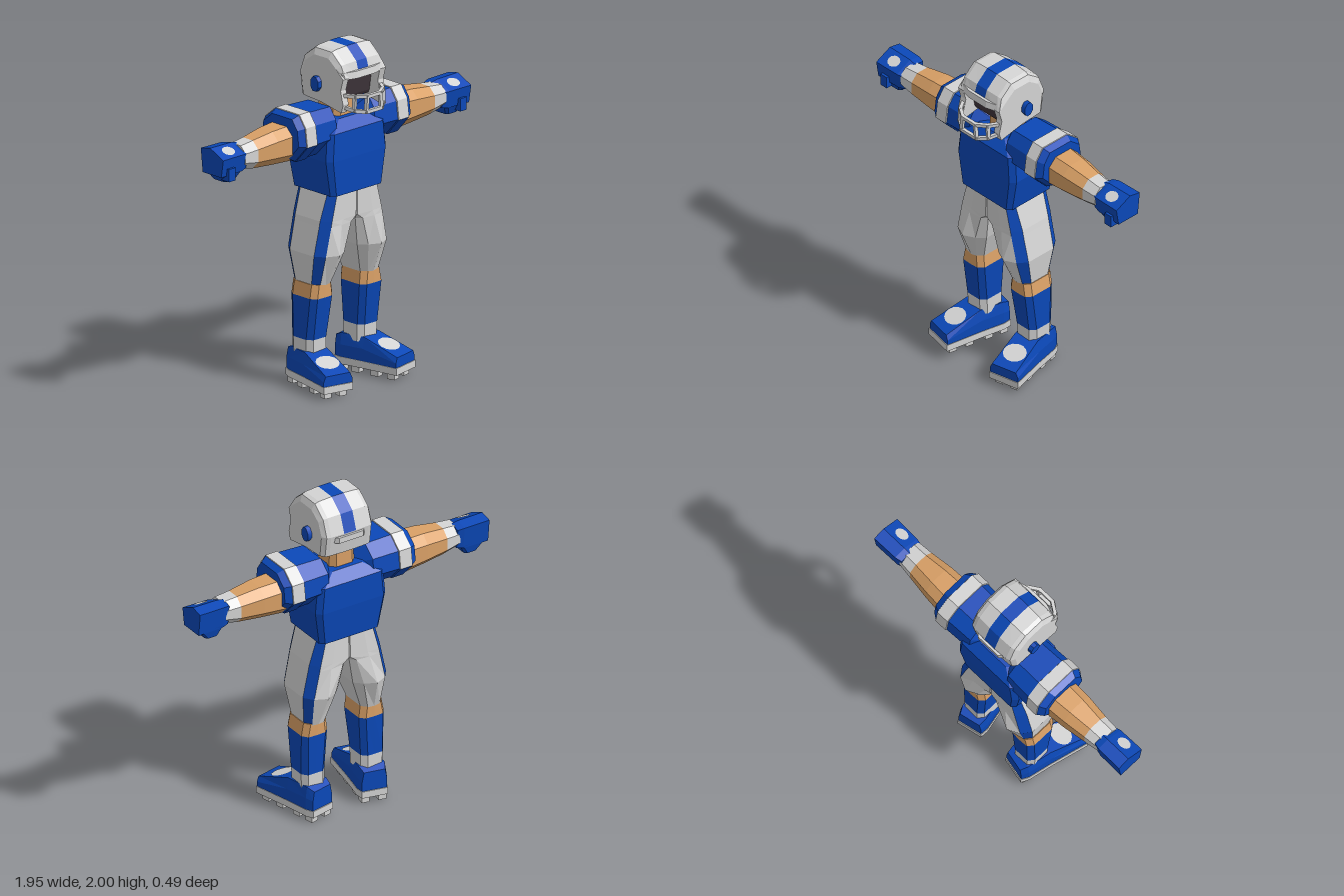
import * as THREE from 'three';

const paint = (name, color) => Object.assign(new THREE.MeshStandardMaterial({ color }), { name });

// Faceted loft through closed rings of [x,y,z]; pick(segment, side) chooses the material index.
function loft(rings, pick = () => 0) {
  const tris = [], n = rings[0].length, last = rings.length - 1;
  for (let s = 0; s < last; s++) for (let i = 0; i < n; i++) {
    const j = (i + 1) % n, m = pick(s, i);
    const [a, b, c, d] = [rings[s][i], rings[s][j], rings[s + 1][j], rings[s + 1][i]];
    tris.push([m, a, b, c], [m, a, c, d]);
  }
  for (const [r, s] of [[rings[0], 0], [rings[last], last - 1]]) {
    const mid = [0, 1, 2].map(k => r.reduce((t, p) => t + p[k], 0) / n);
    for (let i = 0; i < n; i++) {
      const j = (i + 1) % n;
      tris.push(r === rings[0] ? [pick(s, 0), mid, r[j], r[i]] : [pick(s, 0), mid, r[i], r[j]]);
    }
  }
  // turn the faces outward
  const vol = tris.reduce((t, [, a, b, c]) => t + a[0] * (b[1] * c[2] - b[2] * c[1])
    + a[1] * (b[2] * c[0] - b[0] * c[2]) + a[2] * (b[0] * c[1] - b[1] * c[0]), 0);
  tris.sort((p, q) => p[0] - q[0]);
  const pos = [], geo = new THREE.BufferGeometry();
  tris.forEach(([, a, b, c]) => pos.push(...a, ...(vol > 0 ? b : c), ...(vol > 0 ? c : b)));
  geo.setAttribute('position', new THREE.Float32BufferAttribute(pos, 3));
  for (let m = 0; m < 4; m++) {
    const start = tris.findIndex(t => t[0] === m);
    if (start >= 0) geo.addGroup(start * 3, tris.filter(t => t[0] === m).length * 3, m);
  }
  geo.computeVertexNormals();
  return geo;
}

// Chamfered rectangle as eight 2D points
const oct = (a0, a1, b0, b1, c) => [[a0 + c, b0], [a1 - c, b0], [a1, b0 + c], [a1, b1 - c],
  [a1 - c, b1], [a0 + c, b1], [a0, b1 - c], [a0, b0 + c]];
const atY = (y, ...o) => oct(...o).map(([x, z]) => [x, y, z]);
const atX = (x, ...o) => oct(...o).map(([y, z]) => [x, y, z]);

// Leg section: chamfered outer corners, bulging front and back
const legRing = (y, x0, x1, z0, z1, c, ci, b) => {
  const xm = (x0 + x1) / 2;
  return [[x1, z0 + c], [x1, z1 - c], [x1 - c * 0.75, z1], [xm, z1 + b], [x0 + ci, z1], [x0, z1 - ci],
    [x0, z0 + ci], [x0 + ci, z0], [xm, z0 - b], [x1 - c * 0.75, z0]].map(([x, z]) => [x, y, z]);
};

const box = (x0, x1, y0, y1, z0, z1) => new THREE.BoxGeometry(x1 - x0, y1 - y0, z1 - z0)
  .translate((x0 + x1) / 2, (y0 + y1) / 2, (z0 + z1) / 2);

// Square bar between two points
function bar(p, q, t) {
  const a = new THREE.Vector3(...p), b = new THREE.Vector3(...q);
  const m = new THREE.Matrix4().lookAt(b, a, new THREE.Vector3(0.01, 1, 0.02));
  return new THREE.BoxGeometry(t, t, a.distanceTo(b) + t * 0.6).applyMatrix4(m)
    .translate(...a.add(b).multiplyScalar(0.5).toArray());
}

function mirrored(geo) {
  const g = geo.index ? geo.toNonIndexed() : geo.clone(), p = g.attributes.position;
  for (let i = 0; i < p.count; i += 3) {
    const v = [0, 2, 1].map(k => [-p.getX(i + k), p.getY(i + k), p.getZ(i + k)]);
    v.forEach((c, k) => p.setXYZ(i + k, ...c));
  }
  g.computeVertexNormals();
  return g;
}

export function createModel() {
  const model = new THREE.Group();
  model.name = 'footballPlayer';
  const blue = paint('blue', 0x0b48b8), white = paint('white', 0xd4d4d4);
  const skin = paint('skin', 0xd9a066), dark = paint('darkVisor', 0x40353c);
  const mats = [blue, white, skin, dark], B = 0, W = 1, S = 2, D = 3;
  const add = (name, geo, mat = mats) => {
    const m = new THREE.Mesh(geo, mat);
    m.name = name;
    model.add(m);
  };
  const pair = (name, geo, mat) => {
    add('left' + name, geo, mat);
    add('right' + name, mirrored(geo), mat);
  };

  // Jersey and neck
  add('jersey', loft([
    atY(1.15, -0.2, 0.2, -0.22, 0.12, 0.025), atY(1.36, -0.235, 0.235, -0.24, 0.125, 0.03),
    atY(1.52, -0.22, 0.22, -0.24, 0.12, 0.03), atY(1.58, -0.13, 0.13, -0.18, 0.06, 0.03)]));
  add('neck', loft([atY(1.5, -0.085, 0.085, -0.15, 0.03, 0.03), atY(1.74, -0.08, 0.08, -0.15, 0.02, 0.03)]), skin);

  // Shoulder pads with white bands over the top
  const padOutline = [[1.385, -0.14], [1.385, 0.02], [1.49, 0.115], [1.6, 0.1],
    [1.67, 0.05], [1.67, -0.14], [1.6, -0.225], [1.49, -0.24]];
  const pad = [[0.08, 0.4], [0.15, 0.93], [0.318, 0.97], [0.32, 1.01], [0.4, 1.01], [0.402, 0.98], [0.44, 0.84]];
  pair('ShoulderPad', loft(pad.map(([x, s]) => padOutline.map(([y, z]) =>
    [x, 1.53 + (y - 1.53) * s, -0.06 + (z + 0.06) * s])),
  (s, i) => (s >= 2 && s <= 4 && i >= 2 && i <= 6 ? W : B)));

  // Arms with white wristbands
  pair('Arm', loft([
    atX(0.36, 1.385, 1.6, -0.185, 0.04, 0.05), atX(0.55, 1.395, 1.59, -0.17, 0.035, 0.05),
    atX(0.695, 1.405, 1.57, -0.15, 0.022, 0.045), atX(0.79, 1.425, 1.56, -0.14, 0.017, 0.04)],
  s => (s === 2 ? W : S)));

  // Gloves: back of the hand, curled fingers, thumb, pale patch
  const hand = [[1.42, -0.14], [1.42, 0.01], [1.525, 0.027], [1.575, -0.08], [1.56, -0.155]];
  pair('Glove', loft([[0.77, 0.86], [0.81, 0.97], [0.975, 1]].map(([x, s]) =>
    hand.map(([y, z]) => [x, 1.495 + (y - 1.495) * s, -0.065 + (z + 0.065) * s]))), blue);
  pair('Fingers', loft([atY(1.435, 0.795, 0.965, -0.14, 0.01, 0.015),
    atY(1.372, 0.83, 0.915, -0.125, -0.02, 0.015)]), blue);
  pair('Thumb', box(0.885, 0.935, 1.39, 1.465, -0.03, 0.032), blue);
  pair('GlovePatch', new THREE.CircleGeometry(1, 12).scale(0.042, 0.036, 1)
    .rotateX(0.444 - Math.PI / 2).translate(0.885, 1.552, -0.024), white);

  // Trousers with two stripes per leg
  pair('TrouserLeg', loft([
    legRing(1.155, 0, 0.19, -0.2, 0.105, 0.045, 0.004, 0.004),
    legRing(1.0, 0, 0.237, -0.205, 0.105, 0.055, 0.006, 0.006),
    legRing(0.97, 0.015, 0.243, -0.205, 0.105, 0.055, 0.03, 0.008),
    legRing(0.8, 0.05, 0.28, -0.205, 0.1, 0.055, 0.045, 0.035),
    legRing(0.61, 0.118, 0.257, -0.165, 0.04, 0.04, 0.03, 0.006)],
  (s, i) => (i === 1 || i === 9 ? B : W)));

  // Bare knee, sock and white ankle band
  pair('LowerLeg', loft([
    legRing(0.62, 0.117, 0.262, -0.165, 0.043, 0.035, 0.03, 0.003),
    legRing(0.54, 0.107, 0.277, -0.165, 0.045, 0.035, 0.03, 0.003),
    legRing(0.29, 0.122, 0.276, -0.16, 0.012, 0.035, 0.03, 0),
    legRing(0.19, 0.122, 0.272, -0.16, 0.008, 0.035, 0.03, 0)], s => [S, B, W][s]));

  // Shoes, turned outward
  const foot = g => g.rotateY(0.21).translate(0.2, 0, -0.08);
  const shoeRing = ([z, w, y0, y1, top]) => [[-w, y0], [w, y0], [w, y0 + (y1 - y0) * 0.55], [w * top, y1],
    [-w * top, y1], [-w, y0 + (y1 - y0) * 0.55]].map(([x, y]) => [x, y, z]);
  pair('Shoe', foot(loft([[-0.115, 0.075, 0.07, 0.2, 0.85], [-0.07, 0.088, 0.07, 0.22, 0.88],
    [0.08, 0.088, 0.07, 0.22, 0.85], [0.31, 0.095, 0.07, 0.14, 0.85]].map(shoeRing))), blue);
  pair('Sole', foot(loft([[-0.12, 0.078, 0.038, 0.08, 1], [-0.07, 0.091, 0.038, 0.08, 1],
    [0.08, 0.09, 0.038, 0.08, 1], [0.315, 0.098, 0.038, 0.08, 1]].map(shoeRing))), white);
  pair('ShoePatch', foot(new THREE.CircleGeometry(1, 14).scale(0.072, 0.062, 1)
    .rotateX(0.334 - Math.PI / 2).translate(0, 0.182, 0.2)), white);
  for (const z of [-0.08, 0.02, 0.15, 0.26]) for (const x of [-0.05, 0.05])
    pair('Cleat', foot(box(x - 0.024, x + 0.024, 0, 0.045, z - 0.025, z + 0.025)), white);

  // Helmet: side outlines [y,z] swept across x, with a sunken dark face opening
  const shell = [[1.85, 0.165], [1.93, 0.14], [2.0, 0.06], [2.0, -0.08], [1.93, -0.17], [1.82, -0.21],
    [1.69, -0.19], [1.68, -0.01]];
  const open = [[1.69, 0.07], [1.71, 0.08], [1.845, 0.1]];
  const cheek = [[1.65, 0.15], [1.7, 0.165], [1.78, 0.145]];
  const helmetRing = ([x, s, front]) => [...shell.map(([y, z], i) => (i > 0 && i < 7
    ? [x, y > 1.82 ? 1.82 + (y - 1.82) * s : y, -0.01 + (z + 0.01) * (0.3 + 0.7 * s)] : [x, y, z])),
  ...front.map(([y, z]) => [x, y, z])];
  const half = [[0.168, 0.72, cheek], [0.15, 0.92, cheek], [0.125, 0.97, cheek], [0.122, 0.97, open], [0.04, 1, open]];
  const across = [...half, ...half.map(([x, s, f]) => [-x, s, f]).reverse()];
  add('helmet', loft(across.map(helmetRing), (s, i) => {
    if (s === 4 && i <= 4) return B;
    return s >= 3 && s <= 5 && i >= 8 ? D : W;
  }));
  add('helmetBrow', loft([[1.842, 0.18], [1.882, 0.172]].map(([y, z]) =>
    [[-0.168, 0.06], [-0.158, z - 0.025], [-0.07, z], [0.07, z], [0.158, z - 0.025], [0.168, 0.06]]
      .map(([x, zz]) => [x, y, zz]))), white);
  add('helmetRearRim', loft([atY(1.775, -0.12, 0.12, -0.222, -0.12, 0.04),
    atY(1.81, -0.12, 0.12, -0.222, -0.12, 0.04)]), white);
  pair('EarPlate', new THREE.CylinderGeometry(1, 1, 0.04, 8).rotateY(Math.PI / 8).rotateZ(Math.PI / 2)
    .scale(1, 0.046, 0.034).toNonIndexed().translate(0.175, 1.785, -0.04), blue);

  // Face guard
  const rails = [
    [[0.155, 1.75, 0.13], [0.11, 1.748, 0.2], [0.05, 1.745, 0.24]],
    [[0.15, 1.685, 0.13], [0.115, 1.665, 0.2], [0.06, 1.655, 0.24]]];
  for (const r of rails) {
    for (let i = 0; i < 2; i++) pair('GuardBar', bar(r[i], r[i + 1], 0.02), white);
    add('guardFrontBar', bar(r[2], [-r[2][0], r[2][1], r[2][2]], 0.02), white);
  }
  for (let i = 1; i < 3; i++) pair('GuardUpright', bar(rails[0][i], rails[1][i], 0.02), white);
  return model;
}
